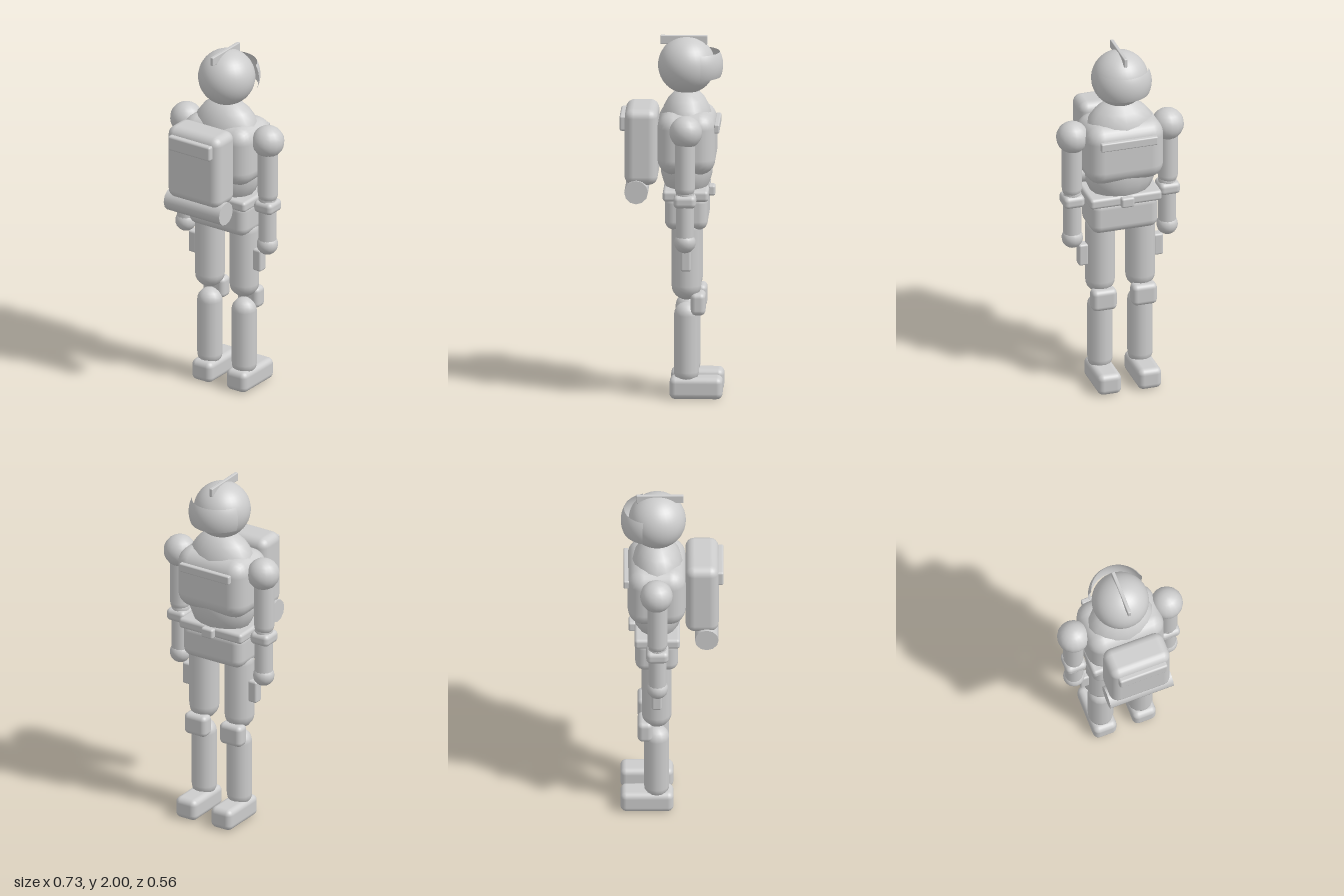
import * as THREE from 'three';
import { RoundedBoxGeometry } from 'three/addons/geometries/RoundedBoxGeometry.js';

export function createModel() {
  const grey = new THREE.MeshStandardMaterial({ color: 0xcccccc });
  grey.name = 'light grey';
  const model = new THREE.Group();
  model.name = 'armouredTrooper';
  const AXIS = -0.083; // z of the body's centre line

  function add(name, geometry, x, y, z, material = grey) {
    const mesh = new THREE.Mesh(geometry, material);
    mesh.name = name;
    mesh.position.set(x, y, z);
    model.add(mesh);
    return mesh;
  }
  // Soft-edged box
  const box = (name, w, h, d, r, x, y, z) =>
    add(name, new RoundedBoxGeometry(w, h, d, 3, r), x, y, z);
  // Upright capsule between two heights
  const capsule = (name, r, bottom, top, x, z, sides = 14) =>
    add(name, new THREE.CapsuleGeometry(r, top - bottom - 2 * r, 6, sides), x, (bottom + top) / 2, z);
  const ball = (name, r, x, y, z, w = 16, h = 12) =>
    add(name, new THREE.SphereGeometry(r, w, h), x, y, z);

  // Helmet with crest
  ball('helmet', 0.157, 0, 1.835, -0.08, 32, 24);
  box('helmetCrest', 0.02, 0.05, 0.258, 0.005, 0, 1.975, -0.065);

  // Curved visor, an open strip of a sphere
  const visorMaterial = new THREE.MeshStandardMaterial({ color: 0xcccccc, side: THREE.DoubleSide });
  visorMaterial.name = 'visor grey';
  add('visor', new THREE.SphereGeometry(0.165, 28, 8,
    Math.PI * 1.5 - 1.28, 2.56, 1.099, 0.857), 0, 1.835, -0.114, visorMaterial);

  // Torso and chest armour
  capsule('torso', 0.2, 1.08, 1.71, 0, -0.08, 16).scale.z = 0.72;
  box('chestArmour', 0.444, 0.35, 0.318, 0.09, 0, 1.425, -0.083);
  box('chestStripe', 0.325, 0.05, 0.03, 0.008, 0, 1.51, -0.249);

  // Hips and belt
  box('pelvis', 0.385, 0.2, 0.235, 0.05, 0, 1.045, AXIS);
  box('belt', 0.41, 0.06, 0.25, 0.018, 0, 1.14, -0.08);
  box('beltBuckle', 0.075, 0.058, 0.04, 0.012, 0, 1.14, -0.217);

  // Backpack, flap and bedroll
  box('backpack', 0.35, 0.425, 0.182, 0.05, 0, 1.402, 0.165);
  box('backpackFlap', 0.28, 0.085, 0.05, 0.012, 0, 1.533, 0.258);
  const roll = add('bedroll', new THREE.CylinderGeometry(0.065, 0.065, 0.37, 12), 0, 1.157, 0.19);
  roll.rotation.z = Math.PI / 2;

  // Limbs, mirrored on both sides
  for (const [side, s] of [['left', 1], ['right', -1]]) {
    ball(side + 'Shoulder', 0.09, s * 0.273, 1.515, -0.085);
    capsule(side + 'UpperArm', 0.056, 1.15, 1.56, s * 0.275, -0.08);
    capsule(side + 'Forearm', 0.05, 0.87, 1.22, s * 0.272, -0.08);
    box(side + 'Cuff', 0.118, 0.07, 0.122, 0.025, s * 0.274, 1.133, -0.08);
    ball(side + 'Hand', 0.059, s * 0.272, 0.9, -0.08);

    capsule(side + 'Thigh', 0.083, 0.55, 1.03, s * 0.115, AXIS);
    capsule(side + 'Shin', 0.07, 0.08, 0.535, s * 0.115, AXIS);
    box(side + 'KneePad', 0.142, 0.125, 0.082, 0.028, s * 0.115, 0.532, -0.147);
    box(side + 'Foot', 0.135, 0.122, 0.29, 0.033, s * 0.115, 0.061, -0.136);
    box(side + 'ThighPouch', 0.056, 0.128, 0.056, 0.012, s * 0.214, 0.793, AXIS);
  }
  return model;
}
